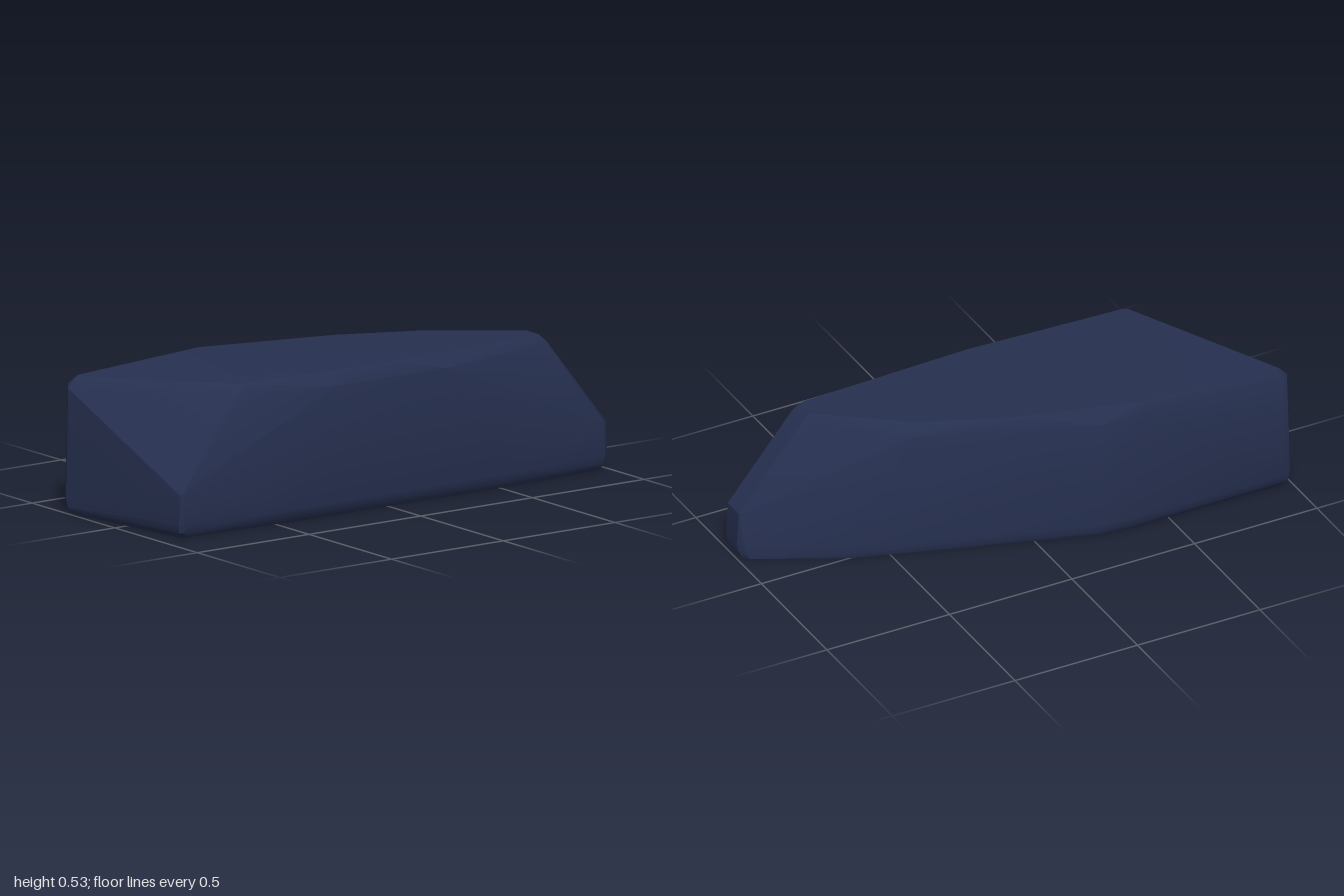
import * as THREE from 'three';
import { ConvexGeometry } from 'three/addons/geometries/ConvexGeometry.js';
import { toCreasedNormals } from 'three/addons/utils/BufferGeometryUtils.js';

// Base outline [x, z], followed around the block
const base = [
  [-1, -0.295], [-0.99, -0.315], [-0.965, -0.323], [-0.34, -0.323], [-0.22, -0.308],
  [0.65, 0], [0.975, 0.175], [0.993, 0.2], [0.993, 0.285], [0.975, 0.298],
  [0.5, 0.322], [-0.45, 0.322], [-0.905, 0.298], [-0.922, 0.285],
];

// Points [x, y, z] where the walls turn into the rounded upper edge
const shoulder = [
  [-0.99, 0.46, -0.295], [-0.975, 0.47, -0.318], [-0.95, 0.46, -0.323],
  [-0.37, 0.48, -0.323], [-0.23, 0.48, -0.307],
  [0.13, 0.485, -0.18], [0.42, 0.485, -0.065],
  [0.985, 0.18, 0.2], [0.985, 0.18, 0.285], [0.97, 0.18, 0.296],
  [0.728, 0.51, 0.19], [0.728, 0.51, 0.27], [0.7, 0.5, 0.287],
  [0.25, 0.48, 0.322], [-0.25, 0.48, 0.322],
  [-0.645, 0.5, 0.287], [-0.67, 0.5, 0.275],
  [-0.91, 0.17, 0.297], [-0.92, 0.16, 0.286],
];

// Rim of the top face
const rim = [
  [-0.955, 0.497, -0.295], [-0.94, 0.5, -0.308], [-0.4, 0.53, -0.305],
  [0.1, 0.532, -0.17], [0.4, 0.532, -0.04], [0.705, 0.532, 0.19],
  [0.705, 0.532, 0.262], [0.68, 0.532, 0.27], [0, 0.532, 0.297],
  [-0.62, 0.532, 0.27], [-0.64, 0.53, 0.26],
];

export function createModel() {
  const points = [...shoulder, ...rim].map((p) => new THREE.Vector3(...p));

  // Rounded lower edge: the base outline shrinks toward the ground
  for (const [y, sx, sz] of [[0.055, 1, 1], [0.02, 0.996, 0.976], [0, 0.982, 0.93]]) {
    for (const [x, z] of base) points.push(new THREE.Vector3(x * sx, y, z * sz));
  }

  const block = new THREE.Mesh(
    toCreasedNormals(new ConvexGeometry(points), 0.45),
    new THREE.MeshStandardMaterial({ color: 0x263050 }),
  );
  block.name = 'bevelledWedgeBlock';

  const model = new THREE.Group();
  model.name = 'wedge';
  model.add(block);
  return model;
}
